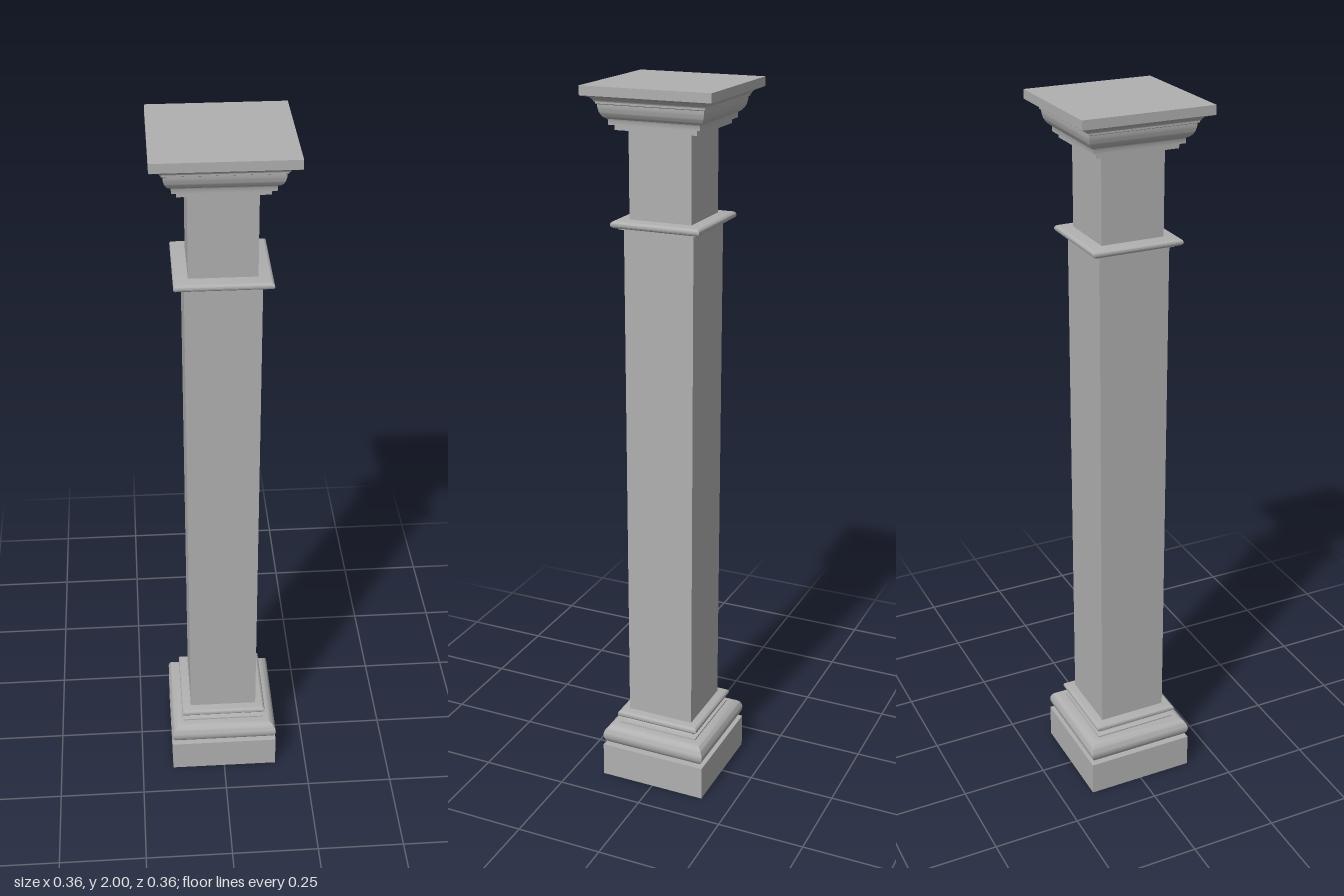
import * as THREE from 'three';
import { toCreasedNormals } from 'three/addons/utils/BufferGeometryUtils.js';

const stone = new THREE.MeshStandardMaterial({ color: 0xb0b0b0 });
stone.name = 'grey stone';

// Square moulding with mitred corners; profile is [half width, height], bottom to top
function moulding(name, profile) {
  const points = [[0, profile[0][1]], ...profile, [0, profile[profile.length - 1][1]]]
    .map(([w, y]) => new THREE.Vector2(w * Math.SQRT2, y));
  const geometry = new THREE.LatheGeometry(points, 4).rotateY(Math.PI / 4);
  const mesh = new THREE.Mesh(toCreasedNormals(geometry, 0.65), stone);
  mesh.name = name;
  return mesh;
}

// Elliptical run of profile points, angles in degrees
function arc(cx, cy, rx, ry, from, to, steps = 8) {
  return Array.from({ length: steps + 1 }, (_, i) => {
    const a = THREE.MathUtils.degToRad(from + (to - from) * i / steps);
    return [cx + rx * Math.cos(a), cy + ry * Math.sin(a)];
  });
}

function block(name, half, y0, y1) {
  const mesh = new THREE.Mesh(new THREE.BoxGeometry(half * 2, y1 - y0, half * 2), stone);
  mesh.position.y = (y0 + y1) / 2;
  mesh.name = name;
  return mesh;
}

export function createModel() {
  const column = new THREE.Group();
  column.name = 'squareColumn';

  column.add(
    block('plinth', 0.157, 0, 0.1),
    block('shaft', 0.098, 0.2, 1.635),
    block('neck', 0.087, 1.65, 1.89),

    // Base: large rounded roll, hollow and small upper roll
    moulding('baseRoll', arc(0.127, 0.132, 0.03, 0.032, -90, 90, 12)),
    moulding('baseHollow', [
      [0.12, 0.163], [0.12, 0.168], ...arc(0.116, 0.176, 0.014, 0.008, 270, 90, 6).slice(1, -1), [0.116, 0.184],
    ]),
    moulding('baseUpperRoll', arc(0.113, 0.194, 0.012, 0.011, -90, 90, 10)),

    // Collar between shaft and neck
    moulding('collar', [
      [0.098, 1.63], [0.108, 1.632], [0.108, 1.636], ...arc(0.113, 1.646, 0.012, 0.01, -90, 90, 10),
    ]),

    // Capital: stepped fillets, swelling curve and flared top slab
    moulding('capital', [
      [0.113, 1.886], [0.113, 1.898], [0.125, 1.9], [0.125, 1.912],
      ...arc(0.122, 1.952, 0.023, 0.038, -80, 0),
      [0.149, 1.954], [0.149, 1.96],
      ...arc(0.175, 1.956, 0.024, 0.018, 170, 90, 6),
      [0.178, 1.976], [0.178, 2],
    ]),
  );
  return column;
}
